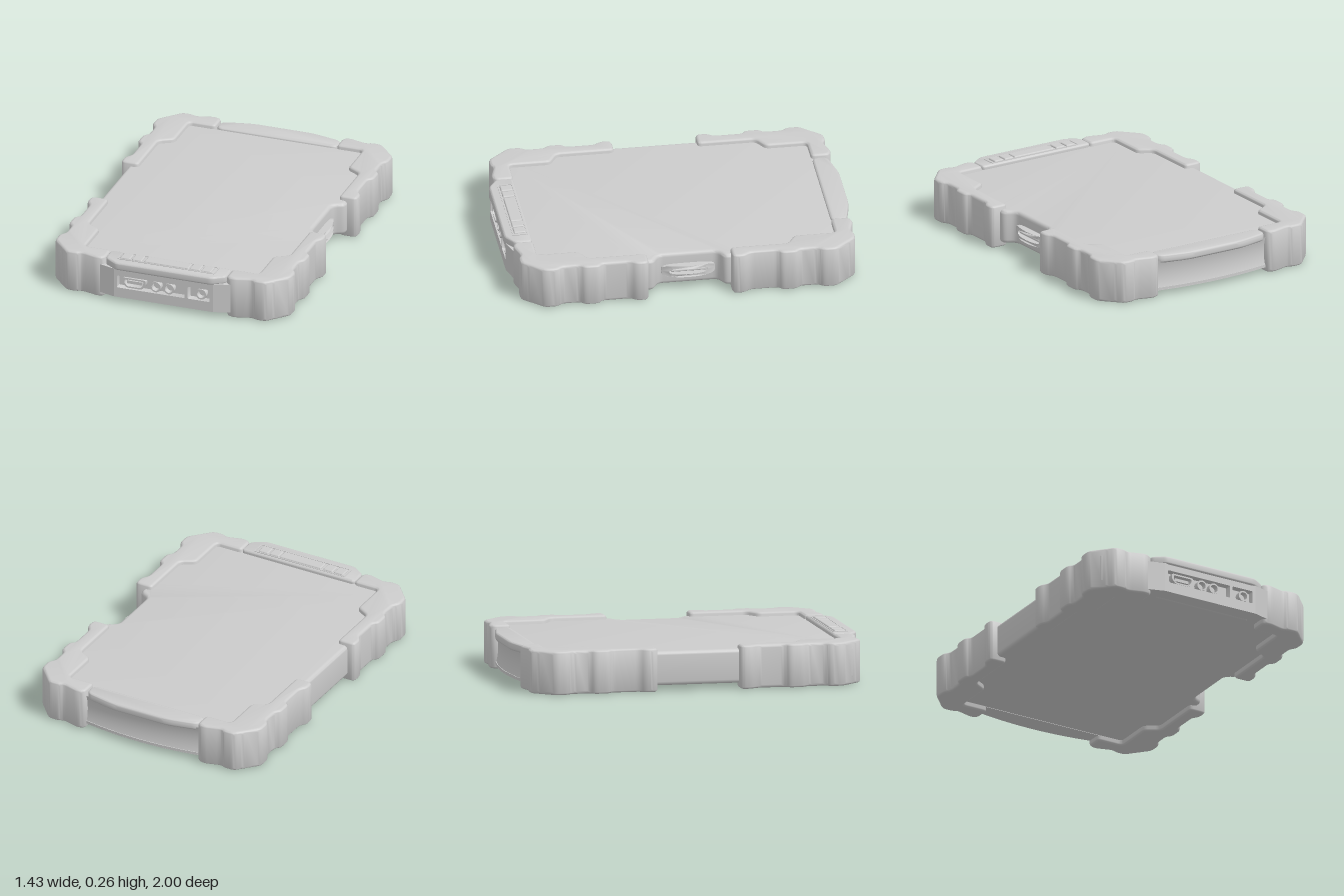
import * as THREE from 'three';
import { toCreasedNormals } from 'three/addons/utils/BufferGeometryUtils.js';
import { RoundedBoxGeometry } from 'three/addons/geometries/RoundedBoxGeometry.js';

const material = new THREE.MeshStandardMaterial({ color: 0xcccccc });

// Closed outline whose corners are rounded by distance t (at most half an edge)
function outline(points, t, Type = THREE.Shape) {
  const path = new Type();
  const p = points.map(([x, y]) => new THREE.Vector2(x, y));
  p.forEach((c, i) => {
    const toward = (q) => c.clone().lerp(q, Math.min(0.49, t / c.distanceTo(q)));
    const a = toward(p[(i + p.length - 1) % p.length]);
    const b = toward(p[(i + 1) % p.length]);
    if (i === 0) path.moveTo(a.x, a.y);
    else path.lineTo(a.x, a.y);
    if (t > 0) path.quadraticCurveTo(c.x, c.y, b.x, b.y);
  });
  path.closePath();
  return path;
}

const rect = (x0, y0, x1, y1) => [[x0, y0], [x1, y0], [x1, y1], [x0, y1]];

// Extrusion along +z from z0 to z1, bevelled inside its outline
function extrude(shape, z0, z1, bevel = 0) {
  const g = new THREE.ExtrudeGeometry(shape, {
    depth: z1 - z0 - 2 * bevel, curveSegments: 4, bevelEnabled: bevel > 0,
    bevelSize: bevel, bevelThickness: bevel, bevelOffset: -bevel, bevelSegments: 4,
  });
  return g.translate(0, 0, z0 + bevel);
}

// Horizontal slab from an (x, z) plan between two heights
function slab(plan, y0, y1, bevel, t = 0.03) {
  return extrude(outline(plan, t), -y1, -y0, bevel).rotateX(Math.PI / 2);
}

export function createModel() {
  const group = new THREE.Group();
  const add = (name, geometry, crease = 0.75) => {
    const mesh = new THREE.Mesh(crease ? toCreasedNormals(geometry, crease) : geometry, material);
    mesh.name = name;
    group.add(mesh);
    return mesh;
  };

  // Flat body with a recess in its left flank for the connector
  add('body', slab([
    [-0.67, -0.89], [0.65, -0.89], [0.65, -0.3], [0.665, -0.215], [0.595, -0.18],
    [0.595, 0.16], [0.665, 0.2], [0.65, 0.28], [0.65, 0.9], [-0.67, 0.9],
  ], 0.03, 0.226, 0.022));

  // Ribbed corner bumpers, mirrored to all four corners
  const bumper = [
    [0.607, 0.24], [0.70, 0.24], [0.717, 0.255], [0.717, 0.31], [0.688, 0.345],
    [0.688, 0.505], [0.717, 0.525], [0.717, 0.61], [0.69, 0.635], [0.69, 0.735],
    [0.717, 0.765], [0.717, 0.84], [0.64, 0.925], [0.605, 0.965], [0.54, 0.965],
    [0.515, 0.95], [0.41, 0.98], [0.366, 0.962], [0.366, 0.857], [0.525, 0.857],
    [0.525, 0.62], [0.607, 0.572],
  ];
  for (const sx of [1, -1]) {
    for (const sz of [1, -1]) {
      const plan = bumper.map(([x, z]) => [sx * x, sz * z - 0.01]);
      add('cornerBumper', slab(plan, 0, 0.25, 0.018, 0.025));
    }
  }

  // Back cap: overhanging lip above an inset, hollowed wall
  const backPlan = [
    [-0.366, -0.87], [-0.366, -0.96], [-0.18, -1], [0.18, -1], [0.366, -0.96], [0.366, -0.87],
  ];
  add('backLip', slab(backPlan, 0.19, 0.238, 0.014, 0.04));
  const wall = new THREE.CylinderGeometry(1, 1, 1, 24, 8, true, -0.4, 0.8);
  const w = wall.attributes.position;
  for (let i = 0; i < w.count; i++) {
    const u = (i % 25) / 12 - 1;
    const v = Math.floor(i / 25) / 4 - 1;
    const bulge = 0.04 * (1 - u * u);
    const hollow = 0.015 * (1 - v * v);
    w.setXYZ(i, -0.4 * u, 0.12 - 0.09 * v, -0.95 - bulge + hollow);
  }
  wall.computeVertexNormals();
  add('backWall', wall, 0);
  const curve = [[-0.4, -0.87]];
  for (let i = 0; i <= 12; i++) {
    const u = i / 6 - 1;
    curve.push([0.4 * u, -0.95 - 0.04 * (1 - u * u)]);
  }
  curve.push([0.4, -0.87]);
  add('backFoot', slab(curve, 0.028, 0.045, 0, 0));

  // Front port block with two windows
  const face = outline(rect(-0.3, 0.03, 0.3, 0.205), 0);
  face.holes.push(outline(rect(-0.28, 0.09, 0.13, 0.165), 0.006, THREE.Path));
  face.holes.push(outline(rect(0.148, 0.09, 0.28, 0.165), 0.006, THREE.Path));
  add('portFace', extrude(face, 0.9, 0.992));
  add('portBacking', new THREE.BoxGeometry(0.6, 0.12, 0.06).translate(0, 0.127, 0.92));
  for (const s of [1, -1]) {
    add('portBlockEnd', slab(
      [[0.3, 0.88], [0.3, 0.992], [0.4, 0.962], [0.4, 0.88]].map(([x, z]) => [s * x, z]),
      0.03, 0.205, 0, 0));
  }

  // Button ledge over the ports
  add('buttonLedge', slab([
    [-0.366, 0.85], [-0.366, 0.95], [-0.29, 1], [0.29, 1], [0.366, 0.95], [0.366, 0.85],
  ], 0.2, 0.249, 0.012, 0.02));
  const strip = outline(rect(-0.295, 0.863, 0.295, 0.952), 0.01);
  strip.holes.push(outline(rect(-0.288, 0.87, 0.288, 0.945), 0.01, THREE.Path));
  add('buttonFrame', extrude(strip, -0.252, -0.24).rotateX(Math.PI / 2));
  for (const [x, width] of [[-0.25, 0.062], [-0.18, 0.062], [0, 0.27], [0.17, 0.062], [0.24, 0.062]]) {
    add('button', new RoundedBoxGeometry(width, 0.02, 0.068, 3, 0.008).translate(x, 0.247, 0.907), 0);
  }

  // Round sockets
  for (const x of [-0.05, 0.03, 0.225]) {
    const socket = new THREE.Shape().absarc(x, 0.126, 0.032, 0, Math.PI * 2);
    socket.holes.push(new THREE.Path().absarc(x, 0.126, 0.023, 0, Math.PI * 2));
    const ring = new THREE.ExtrudeGeometry(socket, { depth: 0.035, bevelEnabled: false, curveSegments: 24 });
    add('roundSocket', ring.translate(0, 0, 0.95));
  }

  // Wide tapered socket with an inner tongue
  const wide = outline([[-0.25, 0.155], [-0.25, 0.12], [-0.225, 0.095], [-0.135, 0.095],
    [-0.11, 0.12], [-0.11, 0.155]], 0.012);
  wide.holes.push(outline([[-0.238, 0.146], [-0.238, 0.123], [-0.22, 0.104], [-0.14, 0.104],
    [-0.122, 0.123], [-0.122, 0.146]], 0.008, THREE.Path));
  add('wideSocket', extrude(wide, 0.95, 0.985));
  add('socketTongue', new THREE.BoxGeometry(0.09, 0.018, 0.025).translate(-0.18, 0.126, 0.962));

  // Side connector: a bowed oval collar split in strips so that it can bend outward
  const half = 0.155;
  const oval = (a, b, Type) => {
    const pts = [];
    for (let i = 0; i < 48; i++) {
      const t = (i / 48) * Math.PI * 2;
      const c = Math.cos(t), s = Math.sin(t);
      pts.push(new THREE.Vector2(a * Math.sign(c) * Math.abs(c) ** 0.6, b * Math.sign(s) * Math.abs(s) ** 0.4));
    }
    return new Type(pts);
  };
  const collar = oval(half, 0.035, THREE.Shape);
  collar.holes.push(oval(0.11, 0.016, THREE.Path));
  const collarGeometry = extrude(collar, 0, 0.02);
  const c = collarGeometry.attributes.position;
  for (let i = 0; i < c.count; i++) {
    if (c.getZ(i) > 0.01) c.setZ(i, 0.012 + 0.035 * (1 - (c.getX(i) / half) ** 2));
  }
  collarGeometry.rotateY(Math.PI / 2).translate(0.594, 0.125, -0.01);
  add('sideConnector', collarGeometry);
  add('connectorTongue', new RoundedBoxGeometry(0.03, 0.014, 0.2, 2, 0.005).translate(0.605, 0.125, -0.01), 0);

  return group;
}
